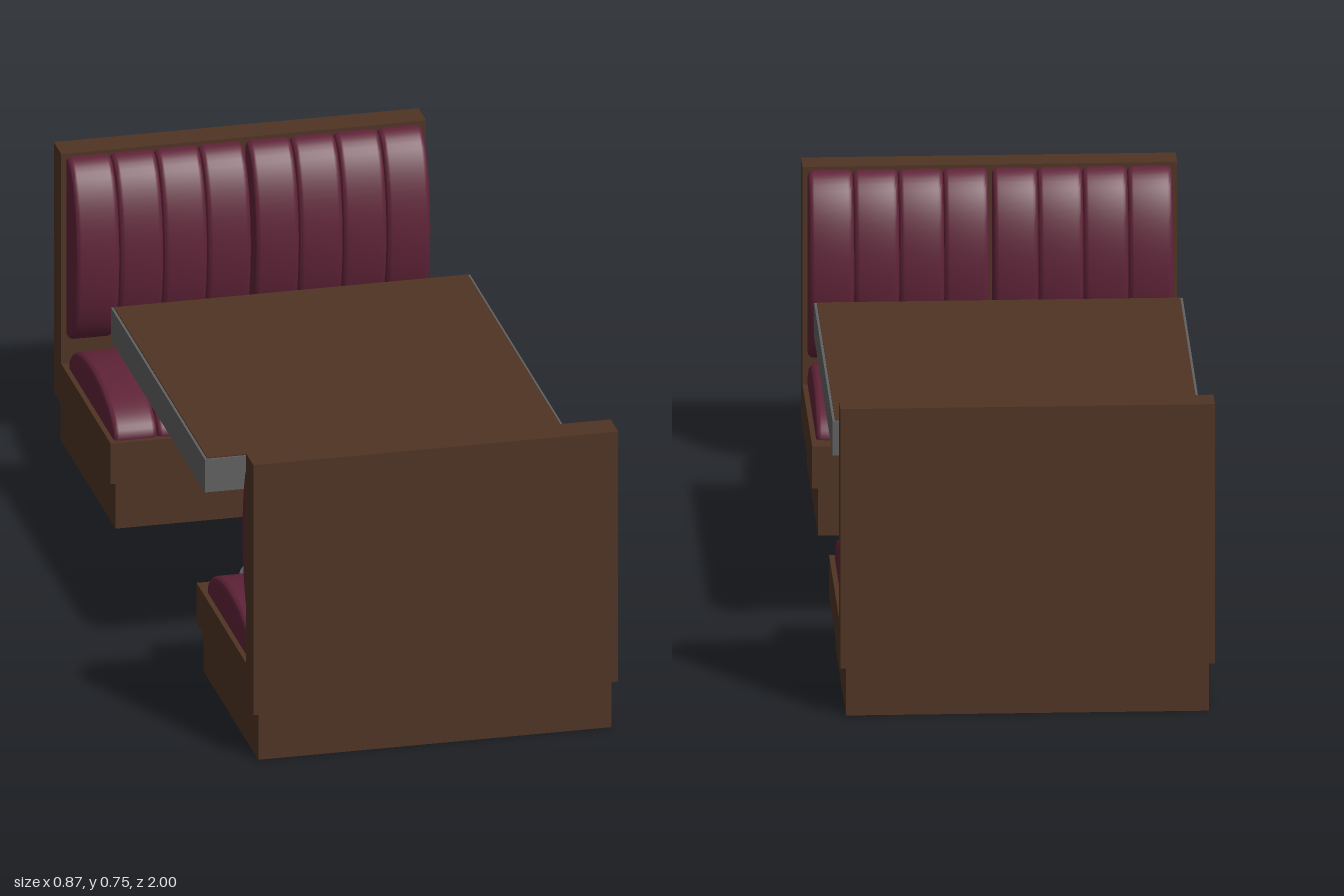
import * as THREE from 'three';
import { toCreasedNormals } from 'three/addons/utils/BufferGeometryUtils.js';

const wood = new THREE.MeshStandardMaterial({ name: 'brown wood', color: 0x4f3423 });
const vinyl = new THREE.MeshStandardMaterial({ name: 'maroon vinyl', color: 0x5f2338 });
const metal = new THREE.MeshStandardMaterial({ name: 'grey metal', color: 0x606060 });

// Box given by its minimum and maximum corners
function box(name, material, [x0, y0, z0], [x1, y1, z1]) {
  const mesh = new THREE.Mesh(new THREE.BoxGeometry(x1 - x0, y1 - y0, z1 - z0), material);
  mesh.position.set((x0 + x1) / 2, (y0 + y1) / 2, (z0 + z1) / 2);
  mesh.name = name;
  return mesh;
}

// Four walls, open above and below
function frame(name, halfX, y0, y1, z0, z1, wall) {
  const shape = new THREE.Shape([[-halfX, -z0], [-halfX, -z1], [halfX, -z1], [halfX, -z0]].map(p => new THREE.Vector2(...p)));
  const inX = halfX - wall, a = -z0 - wall, b = -z1 + wall;
  shape.holes.push(new THREE.Path([[-inX, a], [inX, a], [inX, b], [-inX, b]].map(p => new THREE.Vector2(...p))));
  const geometry = new THREE.ExtrudeGeometry(shape, { depth: y1 - y0, bevelEnabled: false });
  geometry.rotateX(-Math.PI / 2).translate(0, y0, 0);
  const mesh = new THREE.Mesh(geometry, wood);
  mesh.name = name;
  return mesh;
}

// One padded channel: elliptical section bulging up, running along x
function channelGeometry(halfLength, height, width) {
  const bevel = 0.013, cut = 0.2, points = [];
  for (let i = 0; i <= 32; i++) {
    const t = -cut + (Math.PI + 2 * cut) * i / 32;
    points.push(new THREE.Vector2(halfLength * Math.cos(t), height * Math.sin(t)));
  }
  const geometry = new THREE.ExtrudeGeometry(new THREE.Shape(points), {
    depth: width - 2 * bevel, bevelEnabled: true, bevelThickness: bevel,
    bevelSize: bevel, bevelOffset: -bevel, bevelSegments: 4,
  });
  geometry.translate(0, 0, bevel - width / 2).rotateY(Math.PI / 2);
  return toCreasedNormals(geometry, 0.7);
}

const CHANNEL = 0.105;
const seatChannel = channelGeometry(0.232, 0.09, CHANNEL);
const backChannel = channelGeometry(0.228, 0.1, CHANNEL).rotateX(Math.PI / 2);

// Bench facing +z with its back at z = -1
function bench(name, seatZ, backZ) {
  const group = new THREE.Group();
  group.name = name;
  group.add(
    frame('benchPlinth', 0.423, 0, 0.118, -0.99, -0.44, 0.014),
    frame('seatFrame', 0.437, 0.118, 0.22, -1, -0.43, 0.028),
    box('seatPanel', wood, [-0.41, 0.198, -0.973], [0.41, 0.2195, -0.457]),
    box('backPanel', wood, [-0.437, 0.22, -1], [0.437, 0.75, -0.925]),
  );
  // Two cushions of four channels each, for the seat and the back
  for (const side of [-1, 1]) {
    for (let i = 0; i < 4; i++) {
      const x = side * (0.005 + CHANNEL * (i + 0.5));
      const seat = new THREE.Mesh(seatChannel, vinyl);
      seat.name = 'seatCushionChannel';
      seat.position.set(x, 0.22, seatZ);
      const back = new THREE.Mesh(backChannel, vinyl);
      back.name = 'backCushionChannel';
      back.position.set(x, 0.514, backZ);
      group.add(seat, back);
    }
  }
  return group;
}

function table() {
  const group = new THREE.Group();
  group.name = 'table';
  group.add(
    box('tableEdge', metal, [-0.43, 0.47, -0.47], [0.43, 0.553, 0.47]),
    box('tableTop', wood, [-0.424, 0.55, -0.465], [0.424, 0.556, 0.465]),
  );

  // Tapered column
  const column = new THREE.Mesh(new THREE.CylinderGeometry(0.04, 0.047, 0.39, 32, 1, true), metal);
  column.name = 'tableColumn';
  column.position.y = 0.28;

  // Round foot with a sloping top
  const profile = [[0, 0], [0.23, 0], [0.23, 0.024], [0.05, 0.095], [0, 0.095]];
  const foot = new THREE.Mesh(toCreasedNormals(
    new THREE.LatheGeometry(profile.map(p => new THREE.Vector2(...p)), 32), 0.35), metal);
  foot.name = 'tableFoot';
  group.add(column, foot);
  group.position.z = 0.015;
  return group;
}

export function createModel() {
  const model = new THREE.Group();
  model.name = 'diningBooth';
  const front = bench('frontBench', -0.712, -0.928);
  front.rotation.y = Math.PI;
  model.add(bench('rearBench', -0.675, -0.92), front, table());
  return model;
}
